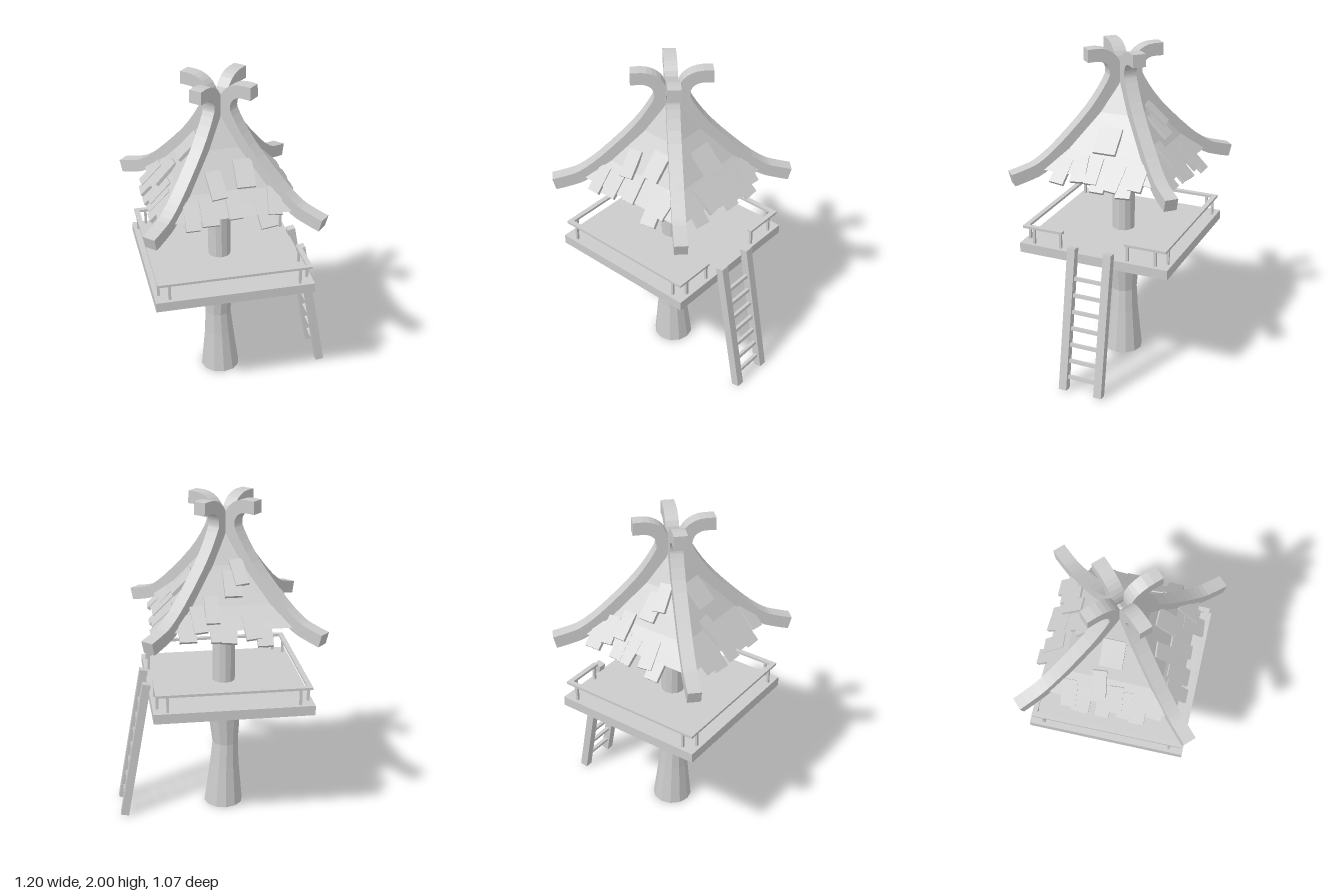
import * as THREE from 'three';

const material = new THREE.MeshStandardMaterial({ color: 0xcccccc, flatShading: true });
const V2 = (x, y) => new THREE.Vector2(x, y);

export function createModel() {
  const model = new THREE.Group();
  const tower = new THREE.Group();
  tower.name = 'tower';
  tower.position.x = -0.065;
  model.add(tower);

  const add = (parent, name, geometry, x = 0, y = 0, z = 0) => {
    const mesh = new THREE.Mesh(geometry, material);
    mesh.name = name;
    mesh.position.set(x, y, z);
    parent.add(mesh);
    return mesh;
  };
  const box = (parent, name, w, h, d, x, y, z) =>
    add(parent, name, new THREE.BoxGeometry(w, h, d), x, y, z);
  const lathe = (points, sides) =>
    new THREE.LatheGeometry(points.map(([r, y]) => V2(r, y)), sides);

  // Trunk, waisted and bent slightly towards -x
  const trunk = lathe([[0, 0], [0.122, 0], [0.092, 0.27], [0.081, 0.42], [0.097, 0.58], [0.113, 0.72], [0, 0.72]], 12);
  const p = trunk.attributes.position;
  for (let i = 0; i < p.count; i++) {
    const bend = Math.max(0, 1 - Math.abs(p.getY(i) - 0.42) / 0.3);
    p.setX(i, p.getX(i) - 0.012 * bend);
  }
  add(tower, 'trunk', trunk);
  add(tower, 'collar', lathe([[0, 0.705], [0.125, 0.705], [0.145, 0.722], [0.151, 0.79], [0, 0.79]], 16));
  add(tower, 'upperPole', new THREE.CylinderGeometry(0.07, 0.07, 0.5, 12), 0, 1.07, 0);

  // Platform
  box(tower, 'platform', 0.95, 0.06, 0.95, 0, 0.815, 0);

  // Railings, with an opening on the ladder side
  for (let side = 0; side < 4; side++) {
    const railing = new THREE.Group();
    railing.name = 'railing';
    railing.rotation.y = side * Math.PI / 2;
    tower.add(railing);
    const open = side === 1;
    if (open) {
      for (const s of [-1, 1]) {
        box(railing, 'handrail', 0.26, 0.015, 0.03, s * 0.33, 0.947, 0.445);
        box(railing, 'railPost', 0.015, 0.1, 0.015, s * 0.215, 0.892, 0.447);
      }
    } else {
      box(railing, 'handrail', 0.92, 0.015, 0.03, 0, 0.947, 0.445);
    }
    for (const s of [-1, 1]) box(railing, 'railPost', 0.015, 0.1, 0.015, s * 0.39, 0.892, 0.447);
  }

  // Concave four-sided roof
  const roof = add(tower, 'roof', lathe([[0, 1.308], [0.558, 1.308], [0.4, 1.42], [0.2, 1.62], [0.075, 1.79], [0, 1.83]], 4));
  roof.rotation.y = Math.PI / 4;

  // Curved corner beams with curled tips: centre line offset to both sides
  const line = new THREE.SplineCurve([
    [0.705, 1.266], [0.62, 1.288], [0.53, 1.322], [0.4, 1.42], [0.2, 1.62], [0.085, 1.785],
    [0.064, 1.86], [0.09, 1.925], [0.15, 1.96], [0.236, 1.962],
  ].map(([r, y]) => V2(r, y)));
  const upper = [], lower = [];
  for (let i = 0; i <= 27; i++) {
    const c = line.getPoint(i / 27), t = line.getTangent(i / 27);
    const n = V2(-t.y, t.x).multiplyScalar(0.038);
    upper.push(c.clone().add(n));
    lower.unshift(c.clone().sub(n));
  }
  const beamGeometry = new THREE.ExtrudeGeometry(new THREE.Shape([...upper, ...lower]), { depth: 0.078, bevelEnabled: false });
  beamGeometry.translate(0, 0, -0.039);
  for (let i = 0; i < 4; i++) {
    add(tower, 'roofBeam', beamGeometry).rotation.y = Math.PI / 4 + i * Math.PI / 2;
  }

  // Shingles per side (front, right, back, left): [offset along side, outer distance, width, twist]
  const shingles = [
    [[-0.24, 0.435, 0.08, 0], [-0.135, 0.425, 0.1, 0], [0.01, 0.41, 0.08, 0.05], [0.19, 0.45, 0.1, 0.12],
      [0.25, 0.41, 0.08, -0.1], [-0.075, 0.34, 0.09, 0.12], [0.095, 0.31, 0.11, 0]],
    [[0.25, 0.43, 0.08, -0.05], [0.18, 0.46, 0.09, 0.08], [0.105, 0.445, 0.09, -0.1], [0.02, 0.455, 0.09, 0],
      [-0.03, 0.43, 0.08, 0], [-0.12, 0.43, 0.09, 0.12], [-0.23, 0.445, 0.09, -0.1], [0.01, 0.32, 0.14, 0]],
    [[0.175, 0.465, 0.09, 0], [0.105, 0.44, 0.09, 0.1], [-0.025, 0.45, 0.09, -0.1], [-0.095, 0.445, 0.08, 0],
      [-0.115, 0.38, 0.08, 0], [-0.265, 0.44, 0.1, 0], [-0.195, 0.41, 0.08, 0.1], [0.015, 0.29, 0.1, 0], [0.06, 0.25, 0.08, 0.15]],
    [[-0.225, 0.44, 0.09, 0.05], [-0.145, 0.455, 0.1, -0.08], [-0.02, 0.455, 0.08, 0], [0.045, 0.43, 0.08, 0.08],
      [0.1, 0.445, 0.08, 0], [0.18, 0.455, 0.09, 0], [0.28, 0.42, 0.09, -0.1], [-0.06, 0.38, 0.08, 0.1], [-0.01, 0.25, 0.13, 0]],
  ];
  shingles.forEach((list, side) => {
    const group = new THREE.Group();
    group.name = 'shingles';
    group.rotation.y = side * Math.PI / 2;
    tower.add(group);
    for (const [u, d, w, twist] of list) {
      const geometry = new THREE.BoxGeometry(w, 0.022, 0.17);
      geometry.rotateY(twist);
      const tilt = 0.78, half = 0.085;
      const y = 1.275 + (0.43 - d) * 1.4 + half * Math.sin(tilt);
      add(group, 'shingle', geometry, u, y, d - half * Math.cos(tilt) - 0.006).rotation.x = tilt;
    }
  });

  // Ladder leaning on the platform
  const ladder = new THREE.Group();
  ladder.name = 'ladder';
  ladder.position.set(0.5, 0.446, 0);
  ladder.rotation.z = 0.175;
  model.add(ladder);
  for (const s of [-1, 1]) box(ladder, 'ladderRail', 0.05, 0.896, 0.05, 0, 0, s * 0.115);
  for (let i = 0; i < 7; i++) box(ladder, 'rung', 0.022, 0.02, 0.2, 0, -0.364 + i * 0.104, 0);

  return model;
}
